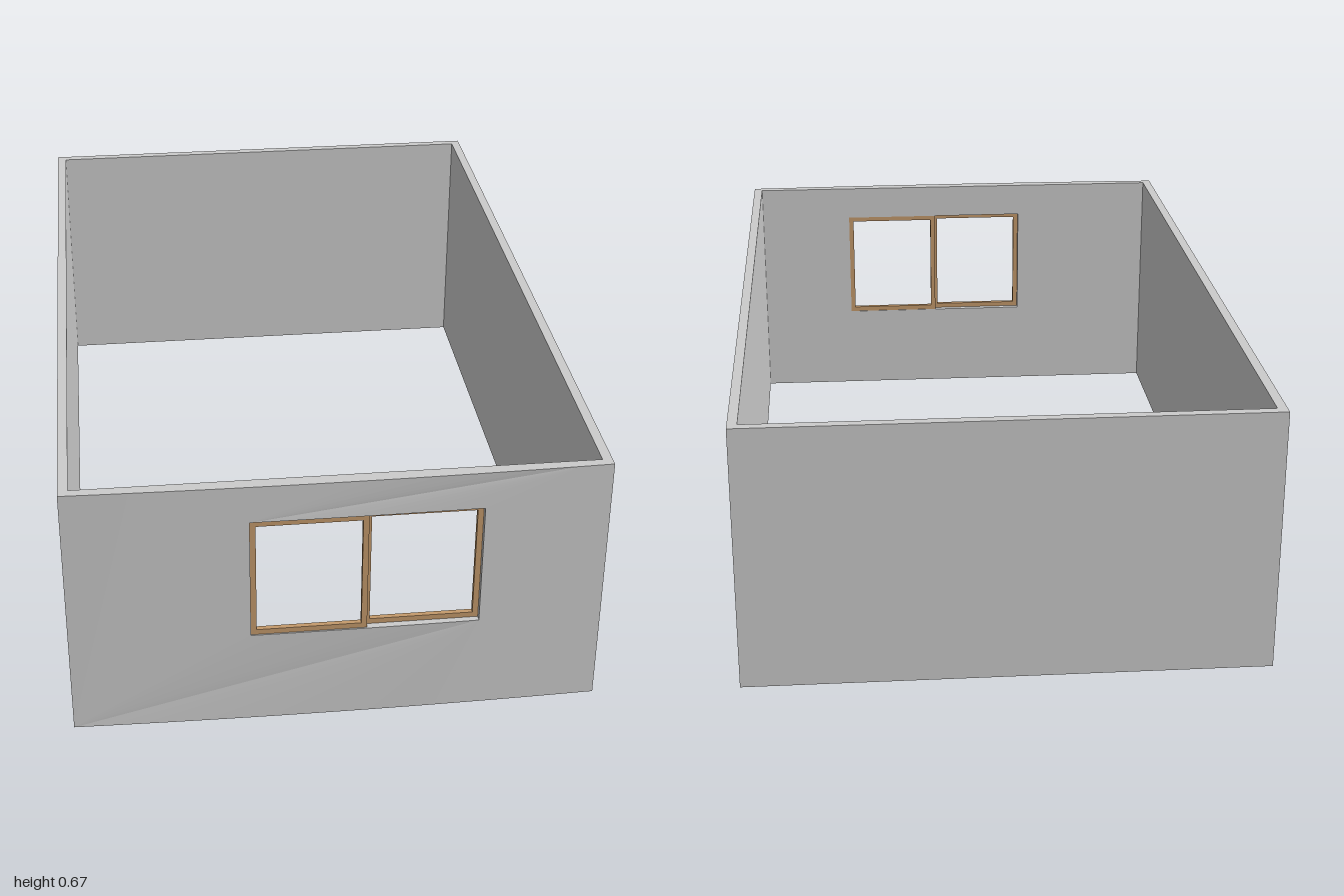
import * as THREE from 'three';

const W = 0.645, H = 0.67, T = 0.024;
const FRONT = 0.99, INNER = 0.967, BOW = 0.01;

const grey = new THREE.MeshStandardMaterial({ color: 0xcccccc, flatShading: true });
const wood = new THREE.MeshStandardMaterial({ color: 0xc49a6c, flatShading: true });

// Rectangle outline with its horizontal edges divided so that it can be bent.
function rectPoints(x0, x1, y0, y1, n = 1) {
  const pts = [];
  for (let i = 0; i <= n; i++) pts.push(new THREE.Vector2(x0 + (x1 - x0) * i / n, y0));
  for (let i = n; i >= 0; i--) pts.push(new THREE.Vector2(x0 + (x1 - x0) * i / n, y1));
  return pts;
}

function framedPanel(outer, hole, depth) {
  const shape = new THREE.Shape(outer);
  shape.holes.push(new THREE.Path(hole));
  return new THREE.ExtrudeGeometry(shape, { depth, bevelEnabled: false });
}

function addMesh(group, name, geometry, material) {
  const mesh = new THREE.Mesh(geometry, material);
  mesh.name = name;
  group.add(mesh);
  return mesh;
}

export function createModel() {
  const model = new THREE.Group();
  model.name = 'room';

  // Back and side walls: one U-shaped plan raised to wall height
  const plan = [
    [-W, INNER], [-W, -1], [W, -1], [W, INNER],
    [W - T, INNER], [W - T, -1 + T], [-W + T, -1 + T], [-W + T, INNER],
  ].map(([x, z]) => new THREE.Vector2(x, -z));
  const walls = new THREE.ExtrudeGeometry(new THREE.Shape(plan), { depth: H, bevelEnabled: false });
  walls.rotateX(-Math.PI / 2);
  addMesh(model, 'sideAndBackWalls', walls, grey);

  // Front wall with the window opening; its outer face bows gently outward
  const front = framedPanel(
    rectPoints(-W, W, 0, H, 16),
    rectPoints(-0.21, 0.343, 0.25, 0.573, 8),
    FRONT - INNER
  );
  front.translate(0, 0, INNER);
  const pos = front.attributes.position;
  for (let i = 0; i < pos.count; i++) {
    if (pos.getZ(i) > INNER + 0.01) {
      pos.setZ(i, FRONT + BOW * (1 - (pos.getX(i) / W) ** 2));
    }
  }
  front.computeVertexNormals();
  addMesh(model, 'frontWall', front, grey);

  // Two sliding sashes, the left one on the outer track
  const windowGroup = new THREE.Group();
  windowGroup.name = 'window';
  const sash = (name, x0, x1, z) => {
    const b = 0.014;
    const geometry = framedPanel(
      rectPoints(x0, x1, 0.25, 0.573),
      rectPoints(x0 + b, x1 - b, 0.25 + b, 0.573 - b),
      0.013
    );
    addMesh(windowGroup, name, geometry, wood).position.z = z;
  };
  sash('outerSash', -0.21, 0.07, 0.983);
  sash('innerSash', 0.064, 0.343, 0.969);
  model.add(windowGroup);

  return model;
}
